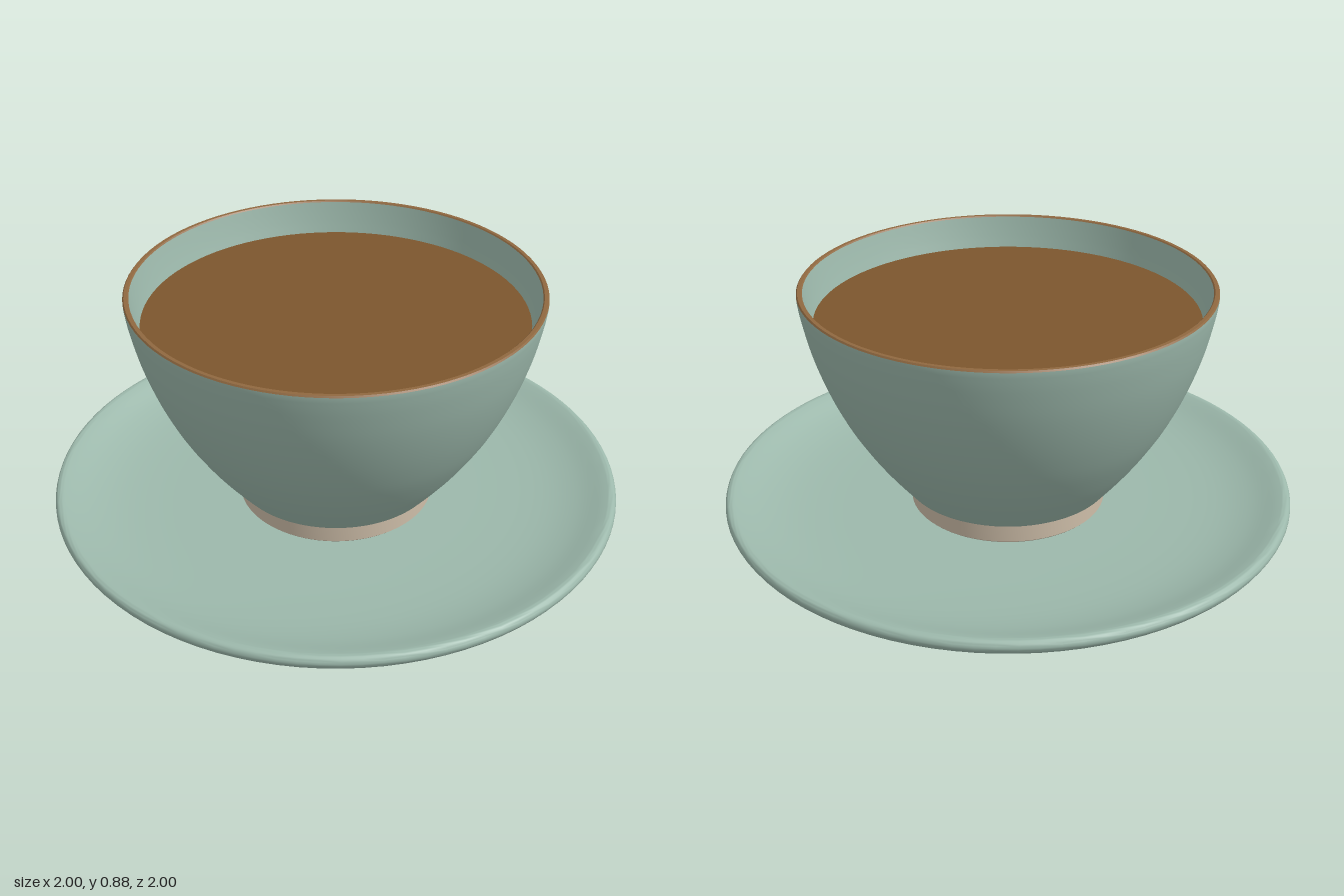
import * as THREE from 'three';
import { toCreasedNormals } from 'three/addons/utils/BufferGeometryUtils.js';

const SEGMENTS = 96;

const material = (name, color) => {
  const m = new THREE.MeshStandardMaterial({ color });
  m.name = name;
  return m;
};

const points = (list) => list.map(([r, y]) => new THREE.Vector2(r, y));

// Smooth curve through a few profile points
const smooth = (list, n) =>
  new THREE.SplineCurve(points(list)).getPoints(n);

// Turned part; the profile runs from the bottom, up the outside, then inwards
function turned(name, profile, mat) {
  const geometry = toCreasedNormals(new THREE.LatheGeometry(profile, SEGMENTS), 0.6);
  const mesh = new THREE.Mesh(geometry, mat);
  mesh.name = name;
  return mesh;
}

export function createModel() {
  const glaze = material('green glaze', 0x9cb8ab);
  const clay = material('bare clay', 0xcdbda8);
  const coffee = material('coffee', 0x7c562d);
  const rimBrown = material('rim brown', 0x8f6840);

  const model = new THREE.Group();
  model.name = 'cupAndSaucer';

  // Saucer: low foot, shallow underside, rounded lip and dished top
  const saucer = turned('saucer', [
    ...points([[0, 0], [0.38, 0], [0.4, 0.01]]),
    ...smooth([[0.68, 0.02], [0.8, 0.032], [0.9, 0.053], [0.975, 0.083]], 12),
    ...smooth([[0.99, 0.092], [1, 0.11], [0.995, 0.128], [0.98, 0.135], [0.965, 0.132]], 12),
    ...smooth([[0.94, 0.122], [0.87, 0.095], [0.78, 0.075], [0.66, 0.065], [0.5, 0.062]], 16),
    ...points([[0, 0.062]]),
  ], glaze);

  const cup = new THREE.Group();
  cup.name = 'cup';

  // Unglazed foot under the bowl
  cup.add(turned('cupFoot', points([
    [0, 0.058], [0.335, 0.058], [0.345, 0.068], [0.345, 0.135], [0, 0.135],
  ]), clay));

  // Outside of the bowl
  cup.add(turned('bowlOutside', [
    ...points([[0, 0.13], [0.35, 0.13]]),
    ...smooth([[0.37, 0.143], [0.42, 0.205], [0.483, 0.29], [0.552, 0.4], [0.602, 0.5],
      [0.642, 0.6], [0.673, 0.7], [0.695, 0.8], [0.704, 0.86]], 32),
    ...points([[0.704, 0.87]]),
  ], glaze));

  // Thin coloured line on top of the rim
  cup.add(turned('rimLine', points([
    [0.704, 0.87], [0.7, 0.875], [0.688, 0.875], [0.684, 0.871],
  ]), rimBrown));

  // Inside of the bowl
  cup.add(turned('bowlInside',
    [
      ...smooth([[0.684, 0.871], [0.672, 0.82], [0.656, 0.76], [0.615, 0.62],
        [0.53, 0.43], [0.4, 0.24], [0.3, 0.18]], 28),
      ...points([[0, 0.165]]),
    ], glaze));

  // Surface of the drink
  const drink = new THREE.Mesh(new THREE.CircleGeometry(0.656, SEGMENTS), coffee);
  drink.name = 'drink';
  drink.rotation.x = -Math.PI / 2;
  drink.position.y = 0.76;
  cup.add(drink);

  model.add(saucer, cup);
  return model;
}
